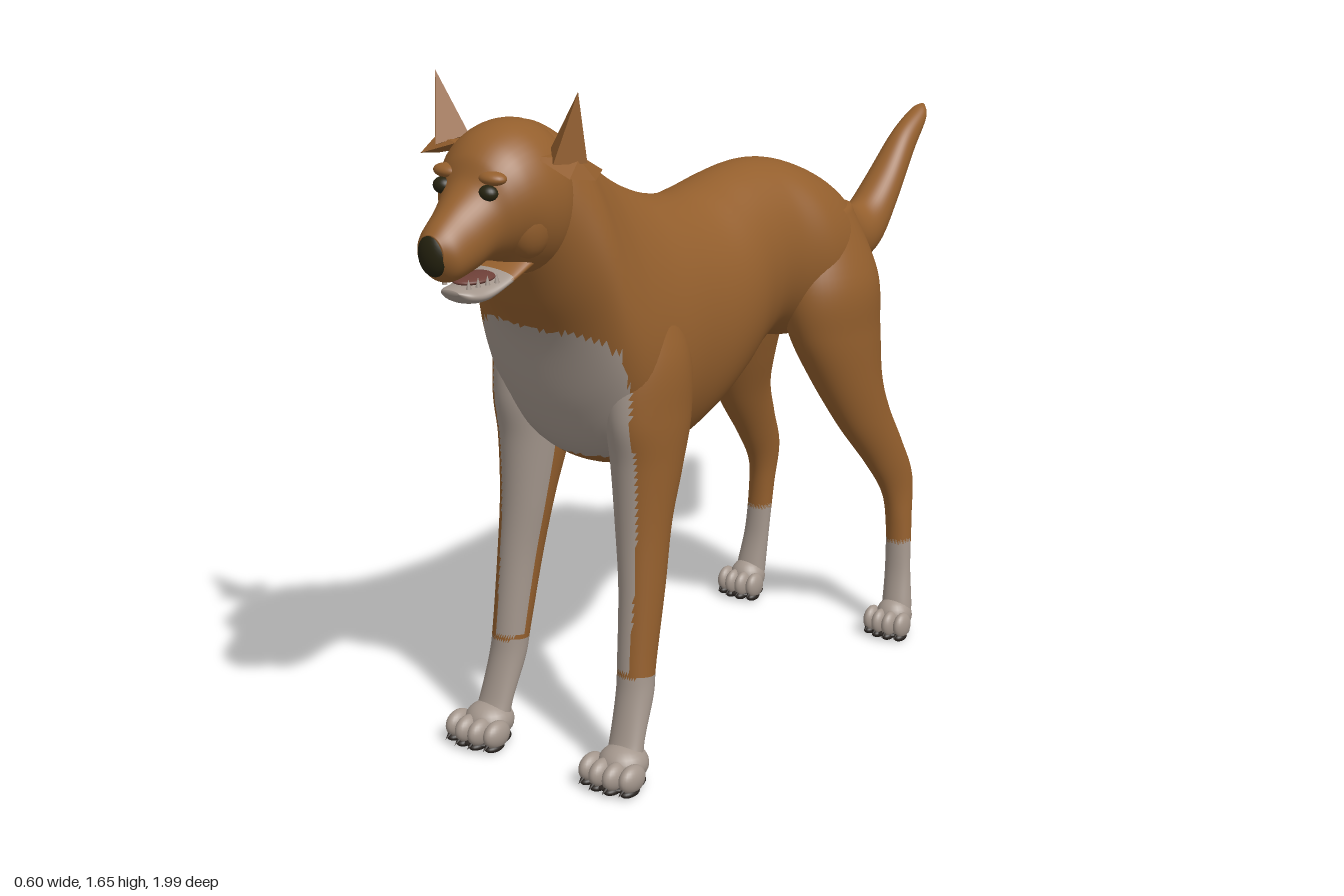
import * as THREE from 'three';
import { ConvexGeometry } from 'three/addons/geometries/ConvexGeometry.js';

const mat = (name, color) => {
  const m = new THREE.MeshStandardMaterial({ color });
  m.name = name;
  return m;
};

// Smooth skin through sections [z1, y1, z2, y2, centreX, halfWidth, egg]:
// two opposite side-profile points per section; egg > 0 widens the first one.
function loft(sections, steps = 8, sides = 48) {
  const rows = [];
  const last = sections.length - 1;
  const at = (i, k) => sections[Math.min(last, Math.max(0, i))][k] ?? 0;
  const spline = (i, k, t) => {
    const [a, b, c, d] = [at(i - 1, k), at(i, k), at(i + 1, k), at(i + 2, k)];
    return b + 0.5 * t * (c - a + t * (2 * a - 5 * b + 4 * c - d + t * (3 * (b - c) + d - a)));
  };
  for (let i = 0; i < last; i++)
    for (let s = 0; s < steps; s++) rows.push([0, 1, 2, 3, 4, 5, 6].map(k => spline(i, k, s / steps)));
  rows.push([0, 1, 2, 3, 4, 5, 6].map(k => at(last, k)));

  const pos = [], idx = [];
  for (const [z1, y1, z2, y2, cx, w, egg] of rows)
    for (let j = 0; j < sides; j++) {
      const a = (j / sides) * Math.PI * 2, c = Math.cos(a);
      pos.push(cx + w * Math.sin(a) * (1 + egg * c),
        (y1 + y2) / 2 + c * (y1 - y2) / 2, (z1 + z2) / 2 + c * (z1 - z2) / 2);
    }
  for (let r = 0; r < rows.length - 1; r++)
    for (let j = 0; j < sides; j++) {
      const a = r * sides + j, b = r * sides + (j + 1) % sides;
      idx.push(a, b, a + sides, b, b + sides, a + sides);
    }
  // end caps
  for (const [r, flip] of [[0, false], [rows.length - 1, true]]) {
    const [z1, y1, z2, y2, cx] = rows[r], centre = pos.length / 3;
    pos.push(cx, (y1 + y2) / 2, (z1 + z2) / 2);
    for (let j = 0; j < sides; j++) {
      const a = r * sides + j, b = r * sides + (j + 1) % sides;
      idx.push(...(flip ? [centre, a, b] : [centre, b, a]));
    }
  }
  // turn the faces outwards when the signed volume is negative
  const v = i => new THREE.Vector3().fromArray(pos, i * 3);
  let volume = 0;
  for (let i = 0; i < idx.length; i += 3) volume += v(idx[i]).dot(v(idx[i + 1]).cross(v(idx[i + 2])));
  if (volume < 0) idx.reverse();
  const g = new THREE.BufferGeometry();
  g.setAttribute('position', new THREE.Float32BufferAttribute(pos, 3));
  g.setIndex(idx);
  g.computeVertexNormals();
  return g;
}

// Sort faces into two material groups by a rule on face centre and normal.
function splitFaces(g, rule) {
  const first = [], second = [], idx = g.index.array;
  const tri = new THREE.Triangle(), mid = new THREE.Vector3(), n = new THREE.Vector3();
  for (let i = 0; i < idx.length; i += 3) {
    tri.setFromAttributeAndIndices(g.attributes.position, idx[i], idx[i + 1], idx[i + 2]);
    tri.getMidpoint(mid);
    tri.getNormal(n);
    (rule(mid, n) ? second : first).push(idx[i], idx[i + 1], idx[i + 2]);
  }
  g.setIndex([...first, ...second]);
  g.addGroup(0, first.length, 0);
  g.addGroup(first.length, second.length, 1);
  return g;
}

export function createModel() {
  const tan = mat('tan coat', 0x945f2d), white = mat('white coat', 0xa3968c);
  const dark = mat('dark nose and eyes', 0x25220f), pad = mat('paw pad', 0x2b2521);
  const pink = mat('mouth lining', 0x6e4038);
  const model = new THREE.Group();
  model.name = 'dog';
  const add = (name, geometry, material, parent = model) => {
    const m = new THREE.Mesh(geometry, material);
    m.name = name;
    parent.add(m);
    return m;
  };
  const blob = (name, material, x, y, z, rx, ry, rz, parent) => {
    const m = add(name, new THREE.SphereGeometry(1, 24, 16), material, parent);
    m.position.set(x, y, z);
    m.scale.set(rx, ry, rz);
    return m;
  };
  const bib = (p, n) => p.z > 0.4 && n.z > 0.12 && Math.abs(p.x) < 0.2 && p.y > 0.26 &&
    p.y < 1.08 - 9 * Math.max(0, Math.abs(p.x) - 0.13) ** 2;
  const sock = p => p.y < 0.25;

  // trunk and neck
  add('body', splitFaces(loft([
    [-0.50, 1.15, -0.525, 1.04, 0.01, 0.05],
    [-0.465, 1.21, -0.52, 0.96, 0, 0.14],
    [-0.40, 1.255, -0.45, 0.87, 0, 0.19],
    [-0.30, 1.295, -0.32, 0.84, 0, 0.205],
    [-0.20, 1.31, -0.20, 0.865, 0, 0.175],
    [-0.10, 1.305, -0.10, 0.83, 0, 0.18],
    [0, 1.29, 0, 0.775, 0, 0.20],
    [0.10, 1.285, 0.10, 0.725, 0, 0.21],
    [0.22, 1.31, 0.22, 0.685, 0, 0.212],
    [0.33, 1.355, 0.36, 0.69, 0, 0.22, -0.15],
    [0.42, 1.41, 0.49, 0.75, 0, 0.225, -0.25],
    [0.50, 1.475, 0.56, 0.87, 0, 0.215, -0.25],
    [0.56, 1.52, 0.61, 1.04, 0, 0.195, -0.18],
    [0.62, 1.555, 0.66, 1.14, 0, 0.165, -0.05],
    [0.67, 1.565, 0.70, 1.23, 0.01, 0.13],
  ], 8, 72), (p, n) => bib(p, n) && p.y > 0.745), [tan, white]);
  blob('bellySheath', tan, 0, 0.845, -0.135, 0.032, 0.035, 0.085).rotation.x = 0.75;

  // tail
  add('tail', loft([
    [-0.42, 1.23, -0.47, 1.10, 0.01, 0.06],
    [-0.50, 1.19, -0.53, 1.07, 0.015, 0.06],
    [-0.57, 1.145, -0.58, 1.00, 0.02, 0.058],
    [-0.64, 1.11, -0.635, 0.955, 0.02, 0.06],
    [-0.695, 1.115, -0.72, 0.975, 0.02, 0.06],
    [-0.77, 1.17, -0.81, 1.075, 0.02, 0.052],
    [-0.87, 1.262, -0.905, 1.19, 0.02, 0.037],
    [-0.955, 1.308, -0.97, 1.265, 0.02, 0.026],
    [-0.985, 1.315, -0.988, 1.30, 0.02, 0.008],
  ]), tan);

  // head
  const head = new THREE.Group();
  head.name = 'head';
  model.add(head);
  add('skullAndMuzzle', loft([
    [0.56, 1.50, 0.62, 1.25, 0, 0.10],
    [0.64, 1.56, 0.66, 1.22, 0.005, 0.142],
    [0.72, 1.575, 0.72, 1.235, 0.01, 0.145],
    [0.79, 1.557, 0.77, 1.27, 0.012, 0.132],
    [0.84, 1.52, 0.80, 1.28, 0.016, 0.11],
    [0.87, 1.468, 0.84, 1.285, 0.02, 0.085],
    [0.92, 1.428, 0.89, 1.272, 0.022, 0.07, -0.1],
    [0.965, 1.395, 0.95, 1.265, 0.024, 0.058, -0.1],
    [0.987, 1.375, 0.982, 1.295, 0.025, 0.035],
  ]), tan, head);
  add('lowerJaw', splitFaces(loft([
    [0.72, 1.30, 0.72, 1.245, 0.012, 0.08],
    [0.80, 1.258, 0.79, 1.225, 0.017, 0.07],
    [0.86, 1.243, 0.85, 1.202, 0.02, 0.058],
    [0.90, 1.243, 0.90, 1.208, 0.022, 0.045],
    [0.922, 1.24, 0.922, 1.23, 0.022, 0.022],
  ]), p => p.z > 0.79), [tan, white], head);
  blob('tongue', pink, 0.02, 1.25, 0.84, 0.04, 0.01, 0.06, head);
  blob('nose', dark, 0.024, 1.332, 0.973, 0.039, 0.05, 0.026, head);
  for (const s of [-1, 1]) {
    blob('eye', dark, 0.0125 + s * 0.063, 1.447, 0.853, 0.024, 0.019, 0.021, head);
    blob('brow', tan, 0.0125 + s * 0.062, 1.477, 0.838, 0.036, 0.016, 0.025, head);
    blob('cheek', tan, 0.01 + s * 0.085, 1.37, 0.745, 0.05, 0.085, 0.065, head);
    for (let i = 0; i < 4; i++) {
      const tooth = add('tooth', new THREE.ConeGeometry(0.006, 0.022, 8), white, head);
      tooth.position.set(0.021 + s * (0.034 + 0.005 * i), 1.254, 0.90 - i * 0.025);
    }
    // upright ear point and folded flap
    const hull = pts => new ConvexGeometry(pts.map(([x, y, z]) => new THREE.Vector3(x * s, y, z)));
    add('earPoint', hull([[0.2, 1.655, 0.7], [0.115, 1.52, 0.69], [0.215, 1.5, 0.69],
      [0.165, 1.5, 0.745], [0.16, 1.5, 0.66]]), tan, head);
    add('earFlap', hull([[0.11, 1.51, 0.74], [0.11, 1.51, 0.63], [0.222, 1.46, 0.67],
      [0.21, 1.475, 0.745], [0.2, 1.51, 0.7], [0.185, 1.465, 0.6]]), tan, head);
  }

  // paw with four toes, claws and a dark sole
  const paw = (name, x, z, size) => {
    const g = new THREE.Group();
    g.name = name;
    g.position.set(x, 0, z);
    g.scale.set(size, 1, size);
    model.add(g);
    blob('pawTop', white, 0, 0.05, -0.02, 0.06, 0.046, 0.06, g);
    blob('sole', pad, 0, 0.013, 0, 0.064, 0.013, 0.066, g);
    [-1.5, -0.5, 0.5, 1.5].forEach(k => {
      const front = 0.042 - 0.012 * Math.abs(k);
      blob('toe', white, k * 0.039, 0.04, front, 0.023, 0.034, 0.042, g);
      blob('toePad', pad, k * 0.039, 0.011, front + 0.008, 0.018, 0.011, 0.03, g);
      const claw = add('claw', new THREE.ConeGeometry(0.007, 0.026, 8), pad, g);
      claw.position.set(k * 0.039, 0.02, front + 0.04);
      claw.rotation.x = 2.1;
    });
  };

  // legs
  for (const s of [-1, 1]) {
    const leg = sections => loft(sections.map(([a, b, c, d, x, w]) => [a, b, c, d, x * s, w]));
    add('frontLeg', splitFaces(leg([
      [0.49, 1.20, 0.34, 1.18, 0.13, 0.04],
      [0.53, 1.02, 0.29, 1.00, 0.155, 0.085],
      [0.54, 0.87, 0.29, 0.85, 0.165, 0.083],
      [0.52, 0.75, 0.33, 0.72, 0.167, 0.076],
      [0.515, 0.60, 0.375, 0.60, 0.172, 0.064],
      [0.523, 0.45, 0.408, 0.45, 0.182, 0.053],
      [0.54, 0.28, 0.45, 0.27, 0.188, 0.046],
      [0.55, 0.20, 0.467, 0.20, 0.192, 0.046],
      [0.578, 0.10, 0.515, 0.10, 0.198, 0.045],
      [0.60, 0.06, 0.527, 0.03, 0.202, 0.048],
    ]), (p, n) => sock(p) || bib(p, n)), [tan, white]);
    paw('frontPaw', s * 0.203, 0.588, 1);

    add('hindLeg', splitFaces(leg([
      [-0.27, 1.17, -0.47, 1.17, 0.11, 0.06],
      [-0.22, 1.00, -0.53, 1.00, 0.13, 0.108],
      [-0.235, 0.87, -0.535, 0.85, 0.145, 0.098],
      [-0.295, 0.74, -0.53, 0.72, 0.165, 0.078],
      [-0.38, 0.60, -0.55, 0.63, 0.185, 0.058],
      [-0.48, 0.475, -0.598, 0.53, 0.20, 0.044],
      [-0.54, 0.385, -0.643, 0.425, 0.21, 0.036],
      [-0.56, 0.30, -0.628, 0.315, 0.218, 0.034],
      [-0.558, 0.18, -0.61, 0.18, 0.225, 0.035],
      [-0.54, 0.09, -0.603, 0.08, 0.233, 0.04],
      [-0.53, 0.05, -0.595, 0.03, 0.235, 0.042],
    ]), sock), [tan, white]);
    paw('hindPaw', s * 0.235, -0.54, 0.78);
  }
  return model;
}
